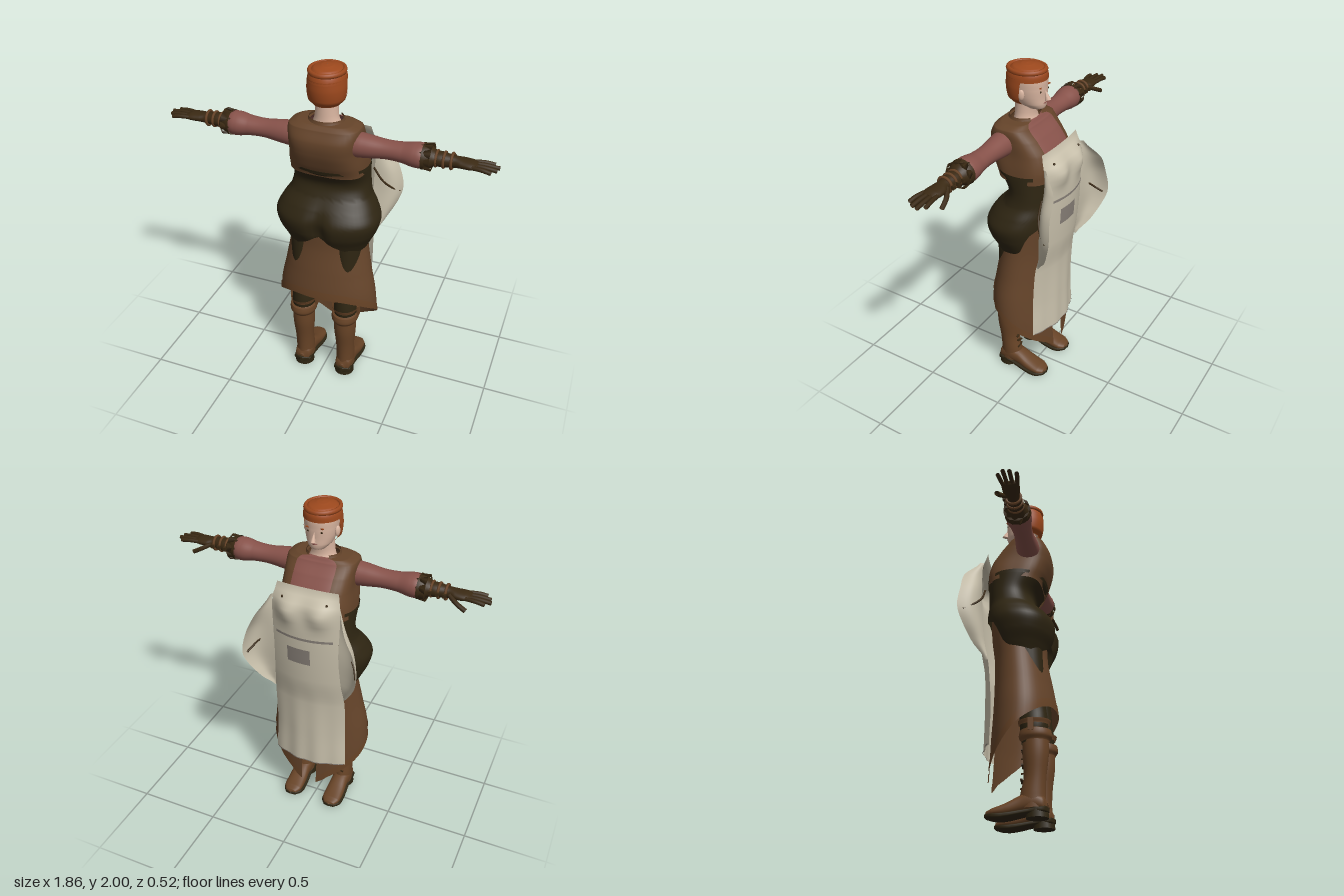
import * as THREE from 'three';
import { ParametricGeometry } from 'three/addons/geometries/ParametricGeometry.js';

const PI = Math.PI;
const paint = (name, color) => new THREE.MeshStandardMaterial({ name, color, side: THREE.DoubleSide });

// Smooth interpolation of a table of rows, keyed on the first column
function rowAt(rows, y) {
  let i = 0;
  while (i < rows.length - 2 && y > rows[i + 1][0]) i++;
  const t = (y - rows[i][0]) / (rows[i + 1][0] - rows[i][0]);
  const p = [rows[Math.max(i - 1, 0)], rows[i], rows[i + 1], rows[Math.min(i + 2, rows.length - 1)]];
  return p[1].map((b, k) => {
    const a = p[0][k], c = p[2][k], d = p[3][k];
    return k === 0 ? y : b + 0.5 * t * (c - a + t * (2 * a - 5 * b + 4 * c - d + t * (3 * (b - c) + d - a)));
  });
}

// Point on a rounded cross-section; row = [y, halfWidth, zMax, zMin], angle 0 is +z
function ringPoint(row, a, n, out) {
  const s = Math.sin(a), c = Math.cos(a);
  const r = Math.pow(Math.abs(s) ** n + Math.abs(c) ** n, -1 / n);
  const mid = (row[2] + row[3]) / 2, rz = (row[2] - row[3]) / 2;
  return out.set(row[1] * r * s, row[0], mid + rz * r * c);
}

function patch(parent, name, mat, fn, nu, nv) {
  const m = new THREE.Mesh(new ParametricGeometry(fn, nu, nv), mat);
  m.name = name;
  parent.add(m);
  return m;
}

// Skin over cross-sections; lo/hi may give a hem height for each angle
function loft(parent, name, mat, rows, o = {}) {
  const { n = 2, a0 = -PI, a1 = PI, lo, hi, grow = 0, dent, nu = 32 } = o;
  const last = rows.length - 1;
  return patch(parent, name, mat, (u, v, out) => {
    const a = a0 + (a1 - a0) * u;
    let y;
    if (lo || hi) {
      const b = lo ? lo(a) : rows[0][0], t = hi ? hi(a) : rows[last][0];
      y = b + (t - b) * v;
    } else {
      const i = Math.min(Math.floor(v * last), last - 1);
      y = rows[i][0] + (rows[i + 1][0] - rows[i][0]) * (v * last - i);
    }
    const r = rowAt(rows, y);
    ringPoint([y, r[1] + grow, r[2] + grow, r[3] - grow], a, n, out);
    if (dent) dent(out, a);
  }, nu, Math.max(last * 5, 6));
}

function add(parent, name, geo, mat, pos, rot = [0, 0, 0], scale = [1, 1, 1]) {
  const m = new THREE.Mesh(geo, mat);
  m.name = name;
  m.position.set(...pos);
  m.rotation.set(...rot);
  m.scale.set(...scale);
  parent.add(m);
  return m;
}

function tube(parent, name, mat, pts, r) {
  const curve = new THREE.CatmullRomCurve3(pts.map(p => new THREE.Vector3(...p)));
  return add(parent, name, new THREE.TubeGeometry(curve, 12, r, 8), mat, [0, 0, 0]);
}

export function createModel() {
  const model = new THREE.Group();
  model.name = 'apronedFigure';
  const M = {
    vest: paint('vest brown', 0x65442a), corset: paint('corset dark olive', 0x2e2512),
    shirt: paint('shirt rose', 0x87524a), apron: paint('apron cream', 0xc9c1ac),
    skin: paint('skin', 0xd9b5a0), hair: paint('hair copper', 0x9c481d),
    boot: paint('boot brown', 0x674326), glove: paint('glove brown', 0x3a2913),
    grey: paint('pocket grey', 0x888078),
  };

  // Vest, open at the chest, over a shirt
  const vest = [[1.4, 0.215, 0.185, -0.13], [1.47, 0.21, 0.215, -0.135], [1.55, 0.2, 0.24, -0.115],
    [1.62, 0.2, 0.243, -0.065], [1.68, 0.198, 0.215, -0.01], [1.7, 0.16, 0.19, 0.01], [1.705, 0.085, 0.16, 0.02]];
  loft(model, 'vest', M.vest, vest, { n: 3.2, a0: -PI + 0.55, a1: PI - 0.55, nu: 44 });
  loft(model, 'shirtChest', M.shirt, vest, { n: 3.2, a0: PI - 0.8, a1: PI + 0.8, grow: -0.006 });
  loft(model, 'collar', M.vest, [[1.69, 0.105, 0.185, 0.0], [1.72, 0.095, 0.175, 0.01]], { a0: -2.5, a1: 2.5 });

  // Coat skirt, open in front with a sloping hem
  const skirt = [[0.15, 0.3, 0.25, -0.13], [0.45, 0.305, 0.25, -0.115], [0.6, 0.295, 0.255, -0.105],
    [0.75, 0.265, 0.235, -0.1], [0.92, 0.235, 0.205, -0.1], [1.1, 0.215, 0.19, -0.12], [1.3, 0.2, 0.12, -0.12]];
  const hemLine = [[0, 0.61], [0.7, 0.59], [1.57, 0.48], [2.3, 0.34], [2.7, 0.26], [3.0, 0.19]];
  const hem = a => rowAt(hemLine, Math.abs(a))[1];
  const front = { a0: -2.98, a1: 2.98, nu: 48 };
  loft(model, 'coatSkirt', M.vest, skirt, { ...front, lo: hem });
  loft(model, 'hemBand', M.boot, skirt, { ...front, lo: hem, hi: a => hem(a) + 0.05, grow: 0.003 });

  // Corset with full hips and a scalloped lower edge
  const corset = [[0.9, 0.225, 0.2, -0.09], [0.97, 0.255, 0.225, -0.115], [1.04, 0.288, 0.257, -0.125],
    [1.12, 0.305, 0.265, -0.135], [1.19, 0.275, 0.225, -0.14], [1.25, 0.236, 0.165, -0.135],
    [1.33, 0.222, 0.14, -0.135], [1.44, 0.224, 0.205, -0.14]];
  const edge = [[0, 1.03], [0.3, 0.98], [0.75, 0.93], [1.5, 0.94], [1.95, 0.97], [2.3, 1.1], [3.15, 1.2]];
  loft(model, 'corset', M.corset, corset, {
    n: 2.3, nu: 60, lo: a => rowAt(edge, Math.abs(a))[1],
    dent: p => {
      if (p.z > 0) p.z -= 0.035 * Math.exp(-((p.x / 0.05) ** 2)) * Math.exp(-(((p.y - 1.07) / 0.1) ** 2));
    },
  });
  loft(model, 'corsetTopBand', M.corset, [[1.425, 0.222, 0.2, -0.14], [1.445, 0.222, 0.206, -0.14]], { n: 2.3, grow: 0.006 });

  // Apron panel
  const apron = [[0.38, 0.23, -0.155, -0.09], [0.6, 0.222, -0.152, -0.085], [0.85, 0.22, -0.155, -0.1],
    [1, 0.205, -0.18, -0.13], [1.2, 0.195, -0.195, -0.15], [1.38, 0.2, -0.2, -0.15],
    [1.5, 0.2, -0.19, -0.145], [1.59, 0.18, -0.13, -0.12]];
  const onApron = (x, y, out, lift = 0) => {
    const r = rowAt(apron, y), u = x / r[1];
    const bust = 0.028 * Math.exp(-(((y - 1.46) / 0.07) ** 2)) * Math.sin(PI * u) ** 2;
    const fold = 0.006 * Math.cos(u * 11) * Math.max(0, 1 - y);
    return out.set(x, y, r[2] + (r[3] - r[2]) * u * u - bust + fold - lift);
  };
  const apronPiece = (name, mat, x0, x1, yLo, yHi, lift, tilt = 0) => patch(model, name, mat, (u, v, out) => {
    const y = yLo + (yHi - yLo) * v, w = x0 === null ? rowAt(apron, y)[1] : 0;
    const x = x0 === null ? (2 * u - 1) * w : x0 + (x1 - x0) * u;
    onApron(x, y + tilt * x, out, lift);
  }, 32, 32);
  apronPiece('apronPanel', M.apron, null, 0, 0.38, 1.59, 0);
  apronPiece('apronPocket', M.grey, -0.045, 0.095, 1.14, 1.24, 0.005);
  apronPiece('apronSeam', M.grey, -0.17, 0.17, 1.3, 1.315, 0.005);
  apronPiece('apronHem', M.grey, -0.225, 0.225, 0.383, 0.39, 0.004);

  // Loose side wings of the apron with ties, and rivets
  const wing = [[0.88, 0.215, -0.12], [0.97, 0.265, -0.185], [1.08, 0.322, -0.235], [1.17, 0.343, -0.26],
    [1.3, 0.318, -0.25], [1.42, 0.262, -0.24], [1.52, 0.205, -0.16]];
  for (const side of [1, -1]) {
    patch(model, 'apronWing', M.apron, (u, v, out) => {
      const y = 0.88 + 0.64 * v, o = rowAt(wing, y), e = rowAt(apron, y);
      const x = e[1] + (o[1] - e[1]) * u, z = e[3] + (o[2] - e[3]) * u;
      const b = 0.03 * Math.sin(PI * u) * Math.sin(PI * v);
      out.set(side * (x + b), y, z + b);
    }, 12, 24);
    tube(model, 'apronTie', M.glove, [[side * 0.2, 1.33, -0.13], [side * 0.25, 1.25, -0.14],
      [side * 0.3, 1.19, -0.18], [side * 0.33, 1.15, -0.23]], 0.006);
    const p = onApron(side * 0.13, 1.53, new THREE.Vector3(), 0.002);
    add(model, 'apronRivet', new THREE.SphereGeometry(0.007, 8, 6), M.glove, p.toArray());
  }

  // Head and neck
  loft(model, 'neck', M.skin, [[1.66, 0.085, 0.155, 0.01], [1.72, 0.066, 0.148, 0.028], [1.82, 0.062, 0.145, 0.02]]);
  const head = [[1.76, 0.015, 0.03, -0.005], [1.768, 0.042, 0.08, -0.025], [1.79, 0.065, 0.13, -0.032],
    [1.83, 0.08, 0.16, -0.032], [1.88, 0.087, 0.175, -0.034], [1.94, 0.084, 0.17, -0.032], [1.98, 0.05, 0.13, 0.0]];
  loft(model, 'face', M.skin, head, { n: 2.2 });
  add(model, 'nose', new THREE.ConeGeometry(0.018, 0.055, 8), M.skin, [0, 1.845, -0.04], [0.3, 0, 0], [0.8, 1, 1.1]);
  add(model, 'lips', new THREE.SphereGeometry(0.018, 12, 8), M.shirt, [0, 1.801, -0.03], [0, 0, 0], [1, 0.25, 0.35]);
  for (const s of [1, -1]) {
    add(model, 'eye', new THREE.SphereGeometry(0.012, 10, 8), M.glove, [s * 0.034, 1.87, -0.023], [0, s * 0.4, 0], [1, 0.5, 0.4]);
    add(model, 'brow', new THREE.BoxGeometry(0.03, 0.006, 0.008), M.hair, [s * 0.036, 1.892, -0.025], [0, s * 0.4, s * 0.1]);
    add(model, 'ear', new THREE.SphereGeometry(0.03, 10, 8), M.skin, [s * 0.092, 1.855, 0.06], [0, s * 0.4, 0], [0.35, 1, 0.6]);
  }

  // Hair: nape, crown and a braid around the head
  loft(model, 'napeHair', M.hair, [[1.795, 0.075, 0.165, 0], [1.82, 0.098, 0.185, -0.01],
    [1.88, 0.106, 0.195, -0.025], [1.94, 0.102, 0.193, -0.036]], { a0: -1.75, a1: 1.75 });
  loft(model, 'crownHair', M.hair, [[1.925, 0.104, 0.195, -0.037], [1.96, 0.097, 0.185, -0.034],
    [1.985, 0.075, 0.16, -0.01], [1.997, 0.035, 0.115, 0.04], [2, 0.002, 0.082, 0.078]]);
  add(model, 'braid', new THREE.TorusGeometry(0.095, 0.012, 8, 36), M.hair, [0, 1.972, 0.08], [PI / 2, 0, 0], [0.95, 1.07, 1.2]);

  for (const s of [1, -1]) {
    const half = new THREE.Group();
    half.name = s > 0 ? 'leftLimbs' : 'rightLimbs';
    half.scale.x = s;
    model.add(half);

    // Arm, built upright and laid along x
    const arm = new THREE.Group();
    arm.name = 'arm';
    arm.position.set(0, 1.6, 0.12);
    arm.rotation.z = -PI / 2;
    half.add(arm);
    loft(arm, 'sleeve', M.shirt, [[0.15, 0.07, 0.07, -0.07], [0.22, 0.066, 0.068, -0.065], [0.34, 0.052, 0.055, -0.055],
      [0.43, 0.054, 0.06, -0.06], [0.5, 0.066, 0.072, -0.072], [0.545, 0.062, 0.066, -0.066], [0.56, 0.03, 0.03, -0.03]]);
    loft(arm, 'gloveCuff', M.glove, [[0.54, 0.07, 0.075, -0.075], [0.57, 0.062, 0.065, -0.065], [0.61, 0.04, 0.045, -0.045]]);
    for (let i = 0; i < 9; i++) {
      const a = i / 9 * 2 * PI;
      add(arm, 'cuffPoint', new THREE.ConeGeometry(0.026, 0.06, 4), M.glove,
        [0.068 * Math.sin(a), 0.556, 0.068 * Math.cos(a)], [PI, -a, 0], [1, 1, 0.3]);
    }
    loft(arm, 'glove', M.glove, [[0.57, 0.03, 0.035, -0.035], [0.62, 0.04, 0.045, -0.045], [0.7, 0.032, 0.035, -0.032],
      [0.74, 0.026, 0.044, -0.045], [0.79, 0.022, 0.05, -0.046], [0.82, 0.012, 0.046, -0.036], [0.825, 0.002, 0.02, -0.02]]);
    for (const x of [0.61, 0.65, 0.69]) {
      add(arm, 'gloveStrap', new THREE.TorusGeometry(0.04, 0.008, 6, 20), M.boot, [0, x, 0], [PI / 2, 0, 0]);
      add(arm, 'strapBuckle', new THREE.BoxGeometry(0.02, 0.018, 0.016), M.glove, [0, x, -0.05]);
    }
    [[0.9, -0.042], [0.928, -0.014], [0.92, 0.016], [0.895, 0.047]].forEach(([tip, z]) =>
      tube(arm, 'finger', M.glove, [[0, 0.78, z * 0.75], [-0.002, 0.85, z], [0.004, tip, z * 1.1]], 0.0115));
    tube(arm, 'thumb', M.glove, [[0, 0.71, -0.03], [0.025, 0.76, -0.058], [0.05, 0.81, -0.068]], 0.013);

    // Leg and boot
    const leg = new THREE.Group();
    leg.name = 'leg';
    leg.position.x = 0.135;
    half.add(leg);
    loft(leg, 'trouser', M.corset, [[0.4, 0.06, 0.2, 0.07], [0.5, 0.07, 0.215, 0.06], [0.6, 0.062, 0.205, 0.05], [0.95, 0.085, 0.19, -0.02]]);
    loft(leg, 'bootShaft', M.boot, [[0.05, 0.055, 0.2, 0.05], [0.12, 0.055, 0.195, 0.06], [0.22, 0.056, 0.2, 0.08],
      [0.34, 0.066, 0.215, 0.075], [0.43, 0.066, 0.215, 0.075]]);
    loft(leg, 'bootCuff', M.boot, [[0.41, 0.068, 0.22, 0.07], [0.435, 0.08, 0.235, 0.055], [0.47, 0.078, 0.23, 0.06], [0.475, 0.068, 0.215, 0.07]]);
    loft(leg, 'bootTopBand', M.boot, [[0.5, 0.074, 0.222, 0.055], [0.525, 0.08, 0.23, 0.05]]);
    for (const x of [-0.078, 0.078])
      add(leg, 'cuffStrap', new THREE.BoxGeometry(0.012, 0.07, 0.03), M.boot, [x, 0.49, 0.13]);
    for (let i = 0; i < 6; i++)
      add(leg, 'lace', new THREE.BoxGeometry(0.045, 0.008, 0.012), M.glove, [0, 0.16 + i * 0.04, 0.07 + (i < 2 ? 0 : 0.006)], [0, 0, i % 2 ? 0.3 : -0.3]);
    const foot = loft(leg, 'bootFoot', M.boot, [[-0.205, 0.015, 0.08, 0.03], [-0.19, 0.045, 0.11, 0.03], [-0.13, 0.055, 0.14, 0.03],
      [-0.06, 0.053, 0.12, 0.025], [0.01, 0.058, 0.085, 0.012], [0.08, 0.056, 0.06, 0.012], [0.115, 0.035, 0.045, 0.015], [0.125, 0.005, 0.03, 0.02]], { n: 2.4 });
    foot.rotation.x = -PI / 2;
    const sole = loft(leg, 'bootSole', M.corset, [[-0.212, 0.01, 0.055, 0.03], [-0.195, 0.053, 0.058, 0.025], [-0.1, 0.055, 0.045, 0.02],
      [0.02, 0.065, 0.03, 0], [0.08, 0.062, 0.028, 0], [0.12, 0.035, 0.03, 0.008], [0.13, 0.003, 0.028, 0.016]], { n: 4 });
    sole.rotation.x = -PI / 2;
    add(leg, 'bootHeel', new THREE.CylinderGeometry(0.056, 0.06, 0.05, 16), M.corset, [0, 0.025, 0.15]);
  }
  return model;
}
